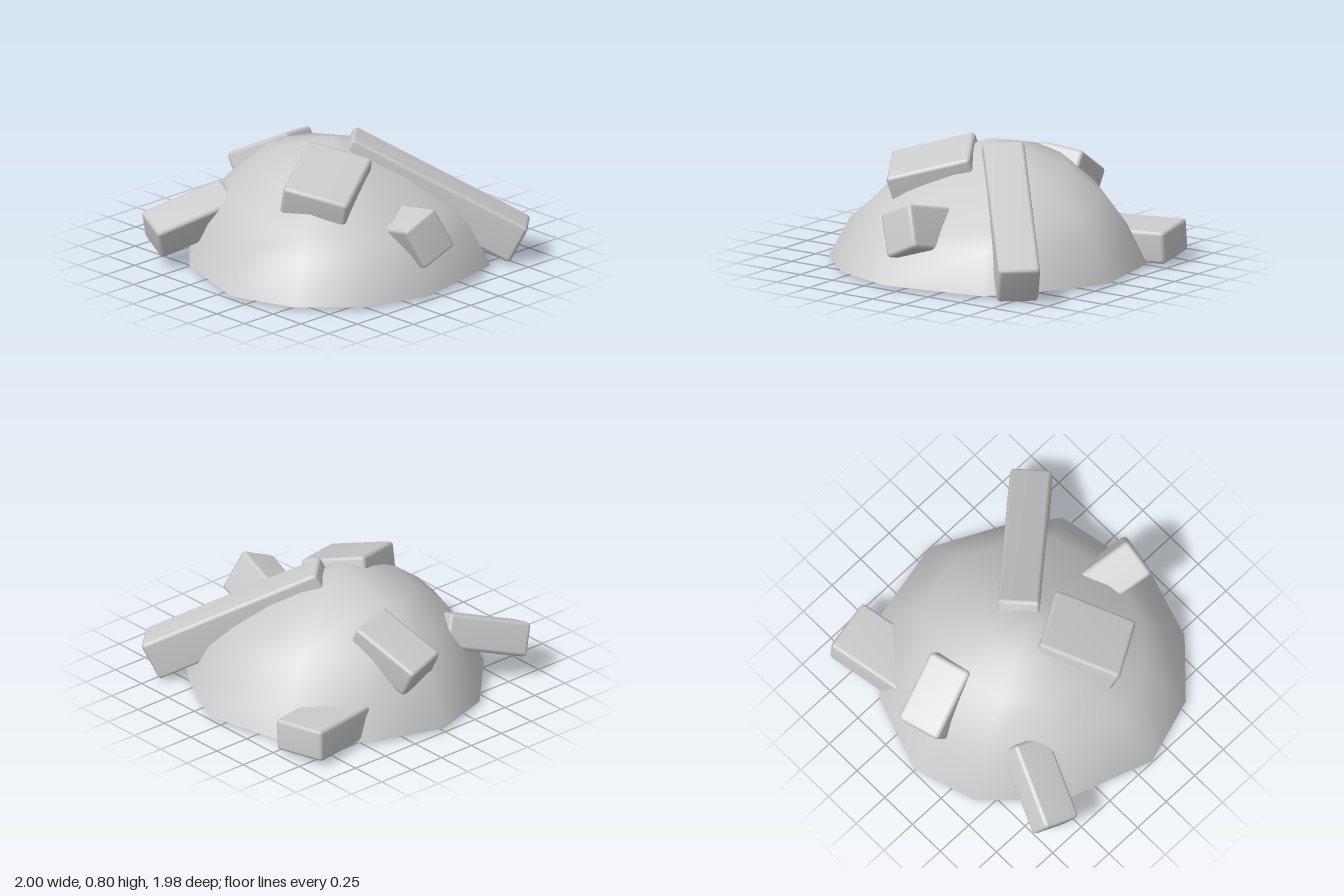
import * as THREE from 'three';
import { mergeVertices } from 'three/addons/utils/BufferGeometryUtils.js';
import { RoundedBoxGeometry } from 'three/addons/geometries/RoundedBoxGeometry.js';

const material = new THREE.MeshStandardMaterial({ color: 0xcccccc, side: THREE.DoubleSide });

// Irregular base outline (x, z), running back, right, front, left
const outline = [
  [0, -0.99], [-0.41, -0.86], [-0.8, -0.46], [-1, 0.12], [-0.86, 0.55], [-0.54, 0.85],
  [-0.11, 0.985], [0.56, 0.85], [0.78, 0.55], [1, 0.11], [0.88, -0.46], [0.49, -0.82],
];
// Mound profile: share of the base outline, height at the back, height at the front
const profile = [[1, 0.02, 0.02], [0.87, 0.285, 0.265], [0.73, 0.475, 0.375], [0.5, 0.67, 0.53], [0.25, 0.735, 0.68]];

// Open, smooth mound, flatter in front: shrinking rings closed by an apex
function moundGeometry() {
  const n = outline.length, pos = [], index = [];
  for (const [s, back, front] of profile) {
    for (const [x, z] of outline) pos.push(x * s, THREE.MathUtils.lerp(back, front, (z + 1) / 2), z * s);
  }
  const apex = pos.length / 3;
  pos.push(0, 0.795, 0);
  profile.forEach((_, r) => {
    for (let i = 0; i < n; i++) {
      const a = r * n + i, b = r * n + (i + 1) % n;
      if (r === profile.length - 1) index.push(a, b, apex);
      else index.push(a, b, b + n, a, b + n, a + n);
    }
  });
  const g = new THREE.BufferGeometry();
  g.setAttribute('position', new THREE.Float32BufferAttribute(pos, 3));
  g.setIndex(index);
  g.computeVertexNormals();
  return g;
}

// Bevelled block with soft shading; size is across, thick, along
function block(name, size, center, along, up) {
  let g = new RoundedBoxGeometry(...size, 1, 0.025);
  g.deleteAttribute('normal');
  g.deleteAttribute('uv');
  g = mergeVertices(g, 1e-4);
  g.computeVertexNormals();
  const mesh = new THREE.Mesh(g, material);
  const z = new THREE.Vector3(...along).normalize();
  const x = new THREE.Vector3(...up).cross(z).normalize();
  const y = z.clone().cross(x);
  mesh.quaternion.setFromRotationMatrix(new THREE.Matrix4().makeBasis(x, y, z));
  mesh.position.set(...center);
  mesh.name = name;
  return mesh;
}

export function createModel() {
  const group = new THREE.Group();
  group.name = 'rubbleMound';
  const mound = new THREE.Mesh(moundGeometry(), material);
  mound.name = 'mound';
  group.add(
    mound,
    // Blocks half buried in the mound
    block('longBeam', [0.265, 0.265, 1.25], [0.467, 0.408, 0.425], [0.59, -0.46, 0.66], [0.31, 0.89, 0.34]),
    block('upperBlock', [0.43, 0.27, 0.55], [-0.267, 0.571, 0.218], [0.846, 0.26, -0.452], [-0.13, 0.94, 0.3]),
    block('frontBlock', [0.265, 0.29, 0.78], [0.029, 0.288, 0.558], [-0.18, 0.22, 0.96], [-0.365, 0.88, -0.27]),
    block('backBlock', [0.3, 0.22, 0.48], [0.125, 0.475, -0.65], [-0.12, -0.21, -0.4], [0.02, 0.885, -0.45]),
    block('backLeftBlock', [0.36, 0.21, 0.6], [0.65, 0.122, -0.62], [0.98, 0.03, -0.19], [0, 1, 0.06]),
    block('backRightBlock', [0.25, 0.22, 0.56], [-0.69, 0.285, -0.56], [-0.87, -0.27, -0.36], [-0.365, 0.88, 0.22]),
  );
  return group;
}
